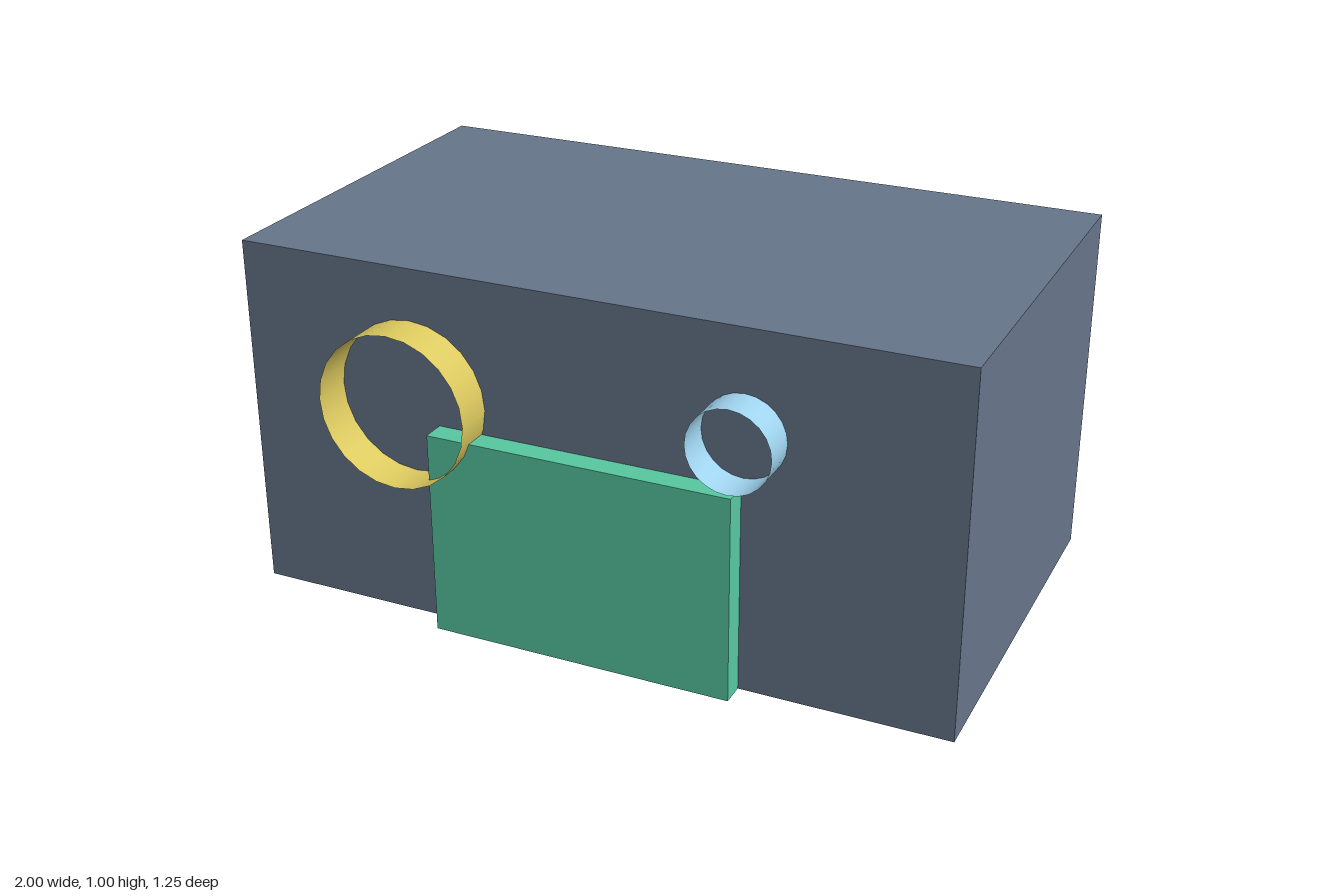
import * as THREE from 'three';

const FRONT = 0.513; // front face of the body
const BACK = -0.627;

function material(color, side = THREE.FrontSide) {
  return new THREE.MeshStandardMaterial({ color, side });
}

// Box standing on the ground between two depths
function block(name, width, height, zBack, zFront, color) {
  const depth = zFront - zBack;
  const mesh = new THREE.Mesh(new THREE.BoxGeometry(width, height, depth), material(color));
  mesh.name = name;
  mesh.position.set(0, height / 2, (zBack + zFront) / 2);
  return mesh;
}

// Thin open tube sticking out of the front face
function ring(name, x, y, radius, depth, color) {
  const geometry = new THREE.CylinderGeometry(radius, radius, depth, 24, 1, true);
  geometry.rotateX(Math.PI / 2);
  const mesh = new THREE.Mesh(geometry, material(color, THREE.DoubleSide));
  mesh.name = name;
  mesh.position.set(x, y, FRONT + depth / 2);
  return mesh;
}

export function createModel() {
  const model = new THREE.Group();
  model.name = 'boxWithRings';
  model.add(
    block('body', 2, 1, BACK, FRONT, 0x66758a),
    block('frontPanel', 0.85, 0.575, FRONT, 0.578, 0x57c7a0),
    ring('largeRing', -0.5, 0.644, 0.213, 0.114, 0xdcc95f),
    ring('smallRing', 0.43, 0.716, 0.113, 0.101, 0x9fd3ee),
  );
  return model;
}
